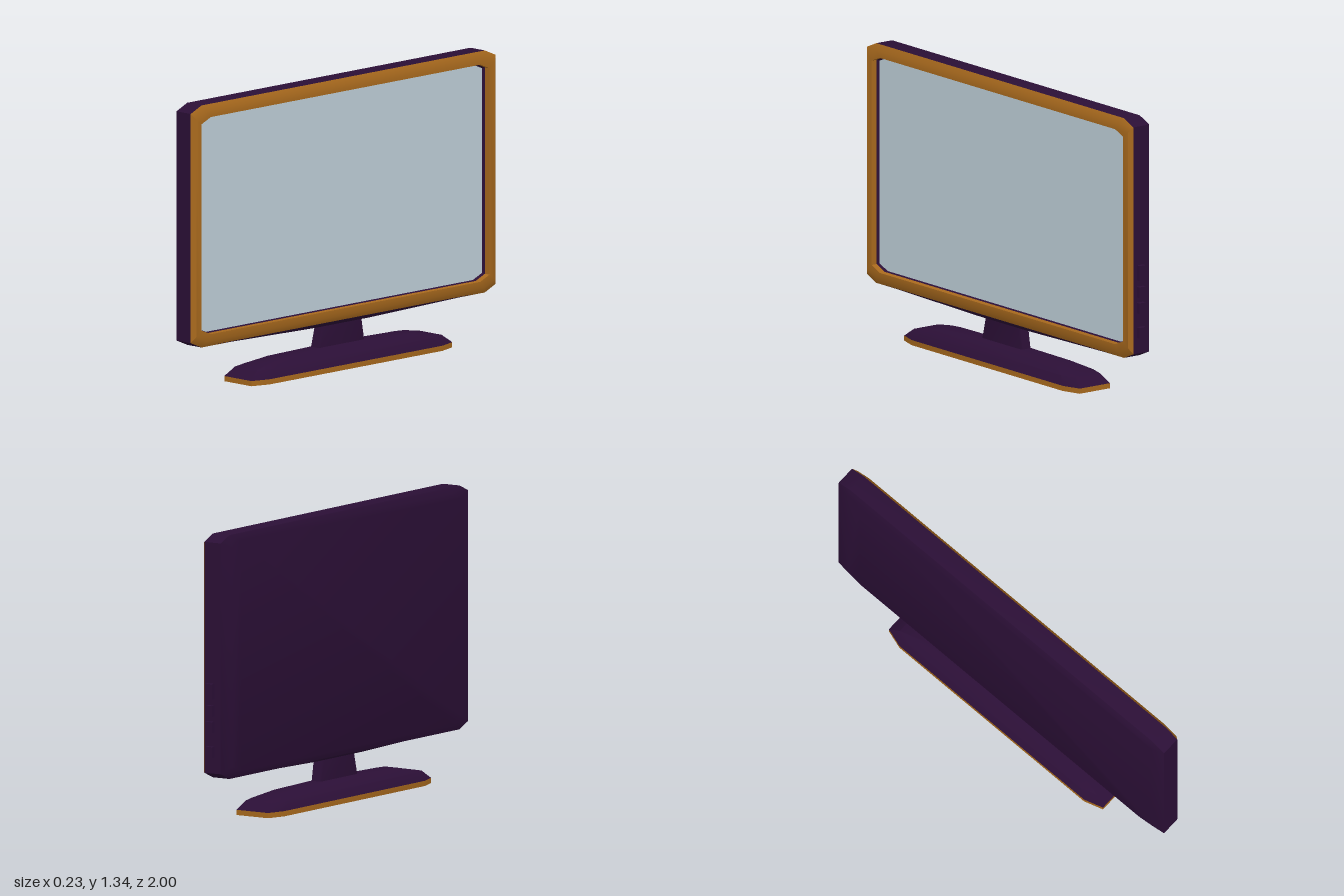
import * as THREE from 'three';
import { toCreasedNormals } from 'three/addons/utils/BufferGeometryUtils.js';

const mat = (color) => new THREE.MeshStandardMaterial({ color });
const PURPLE = mat(0x2b0f36), ORANGE = mat(0xa8691d), GLASS = mat(0xbfd0d9);

// Chamfered rectangle, counter-clockwise: half sizes a, b and corner cuts ca, cb
function octagon(a, b, ca, cb) {
  return [[a, cb - b], [a, b - cb], [a - ca, b], [ca - a, b],
    [-a, b - cb], [-a, cb - b], [ca - a, -b], [a - ca, -b]];
}

// Ring of the screen body at depth x, inset from the outer rim
function bodyRing(x, dy = 0, dz = 0, cy = 0.03, cz = 0.07) {
  return octagon(0.562 - dy, 0.99 - dz, cy, cz)
    .map(([y, z]) => new THREE.Vector3(x, 0.773 + y, 0.01 + z));
}

// Ring of the stand at height y
function standRing(y, hz, hx, cz, cx, z0 = 0.005) {
  return octagon(hz, hx, cz, cx).map(([z, x]) => new THREE.Vector3(x, y, z0 + z));
}

// Skin over consecutive rings, optionally closed at the ends
function loft(rings, capStart, capEnd) {
  const pts = [];
  for (let i = 0; i < rings.length - 1; i++) {
    const p = rings[i], q = rings[i + 1], n = p.length;
    for (let j = 0; j < n; j++) {
      const k = (j + 1) % n;
      pts.push(p[j], p[k], q[k], p[j], q[k], q[j]);
    }
  }
  const first = rings[0], last = rings[rings.length - 1];
  for (let j = 1; j < first.length - 1; j++) {
    if (capStart) pts.push(first[0], first[j + 1], first[j]);
    if (capEnd) pts.push(last[0], last[j], last[j + 1]);
  }
  return toCreasedNormals(new THREE.BufferGeometry().setFromPoints(pts), 0.6);
}

export function createModel() {
  const model = new THREE.Group();
  const add = (name, geometry, material) => {
    const mesh = new THREE.Mesh(geometry, material);
    mesh.name = name;
    model.add(mesh);
    return mesh;
  };

  // Rear housing with bevelled back
  add('housing', loft([bodyRing(-0.07, 0.03, 0.07), bodyRing(-0.055), bodyRing(0.036)], true, false), PURPLE);

  // Front frame: outer bevel, face and recessed inner wall
  add('bezel', loft([
    bodyRing(0.036), bodyRing(0.052, 0.027, 0.02),
    bodyRing(0.052, 0.058, 0.055, 0.025, 0.06), bodyRing(0.022, 0.058, 0.055, 0.025, 0.06),
  ]), ORANGE);
  add('screenSurround', loft([
    bodyRing(0.022, 0.058, 0.055, 0.025, 0.06), bodyRing(0.012, 0.062, 0.063, 0.025, 0.06),
  ]), PURPLE);
  add('screen', loft([bodyRing(0.012, 0.062, 0.063, 0.025, 0.06)], false, true), GLASS);

  // Shallow sloped underside above the neck
  add('underside', loft([
    standRing(0.197, 0.2, 0.027, 0.02, 0.005), standRing(0.216, 0.88, 0.045, 0.02, 0.005),
  ], true, false), PURPLE);

  // Side buttons
  [[0.62, 0.07], [0.53, 0.05], [0.455, 0.05], [0.34, 0.05]].forEach(([y, h], i) => {
    add(`button${i + 1}`, new THREE.BoxGeometry(0.036, h, 0.03), PURPLE).position.set(-0.002, y, -0.985);
  });

  // Tapered neck
  add('neck', loft([
    standRing(0.085, 0.152, 0.027, 0.01, 0.004, 0.01), standRing(0.21, 0.125, 0.027, 0.01, 0.004, 0.005),
  ]), PURPLE);

  // Foot: sloped top, coloured rim and underside plate
  add('footTop', loft([
    standRing(0.024, 0.652, 0.115, 0.09, 0.028), standRing(0.063, 0.6, 0.094, 0.08, 0.024),
    standRing(0.09, 0.46, 0.047, 0.05, 0.012), standRing(0.1, 0.15, 0.028, 0.02, 0.006),
  ], false, true), PURPLE);
  const plate = standRing(0, 0.635, 0.1, 0.088, 0.026);
  add('footRim', loft([
    plate, standRing(0, 0.652, 0.115, 0.09, 0.028), standRing(0.024, 0.652, 0.115, 0.09, 0.028),
  ]), ORANGE);
  add('footPlate', loft([plate], true, false), PURPLE);

  return model;
}
